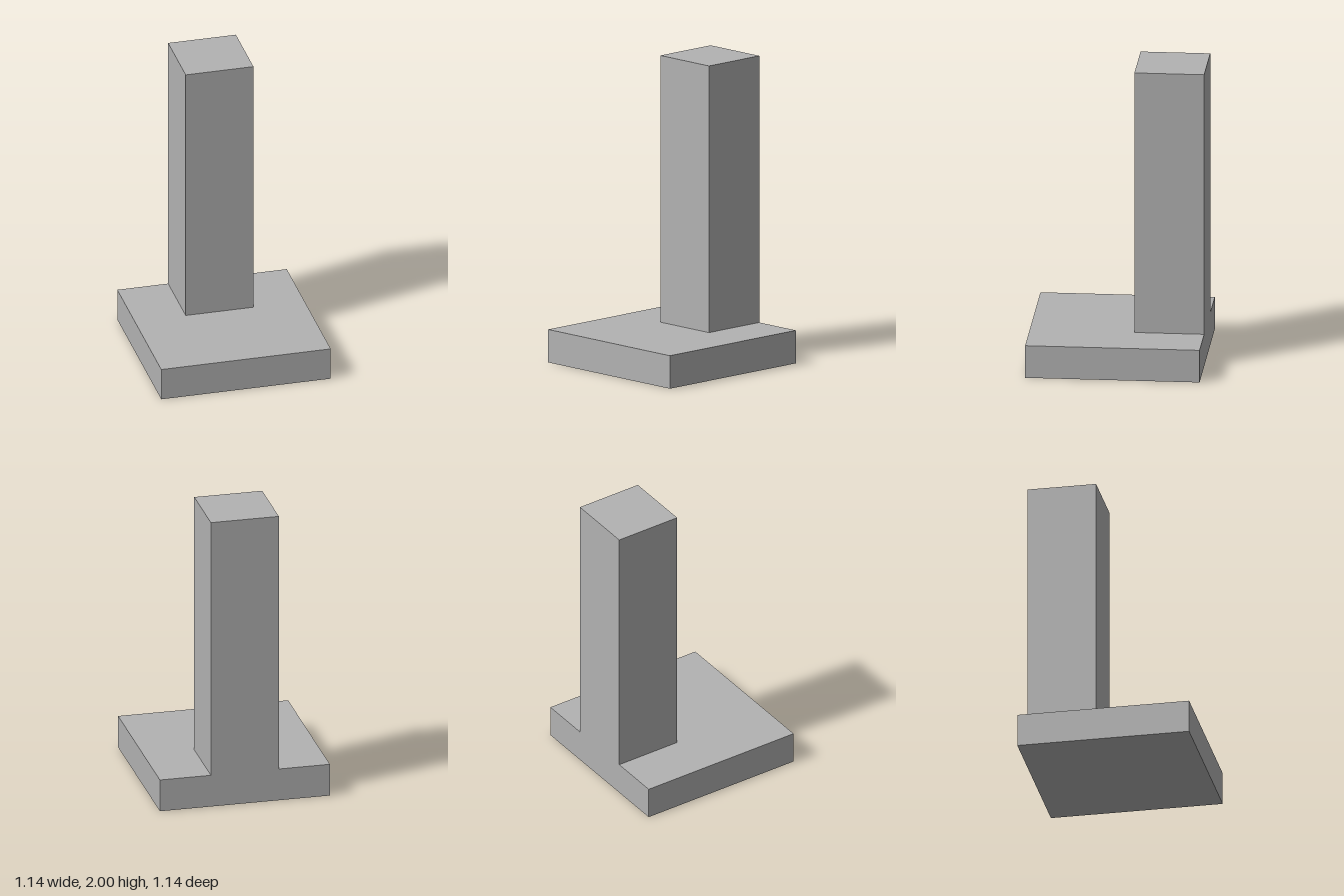
import * as THREE from 'three';

export function createModel() {
  const model = new THREE.Group();
  const grey = new THREE.MeshStandardMaterial({ color: 0xb2b2b2 });
  grey.name = 'grey';

  const side = 1.143, baseHeight = 0.22, columnSide = 0.457, height = 2;

  function addBox(name, w, h, d, y, z) {
    const mesh = new THREE.Mesh(new THREE.BoxGeometry(w, h, d), grey);
    mesh.name = name;
    mesh.position.set(0, y + h / 2, z);
    model.add(mesh);
  }

  // Square slab on the ground
  addBox('base', side, baseHeight, side, 0, 0);
  // Square column, flush with the back of the slab
  addBox('column', columnSide, height - baseHeight, columnSide, baseHeight, (columnSide - side) / 2);

  return model;
}
